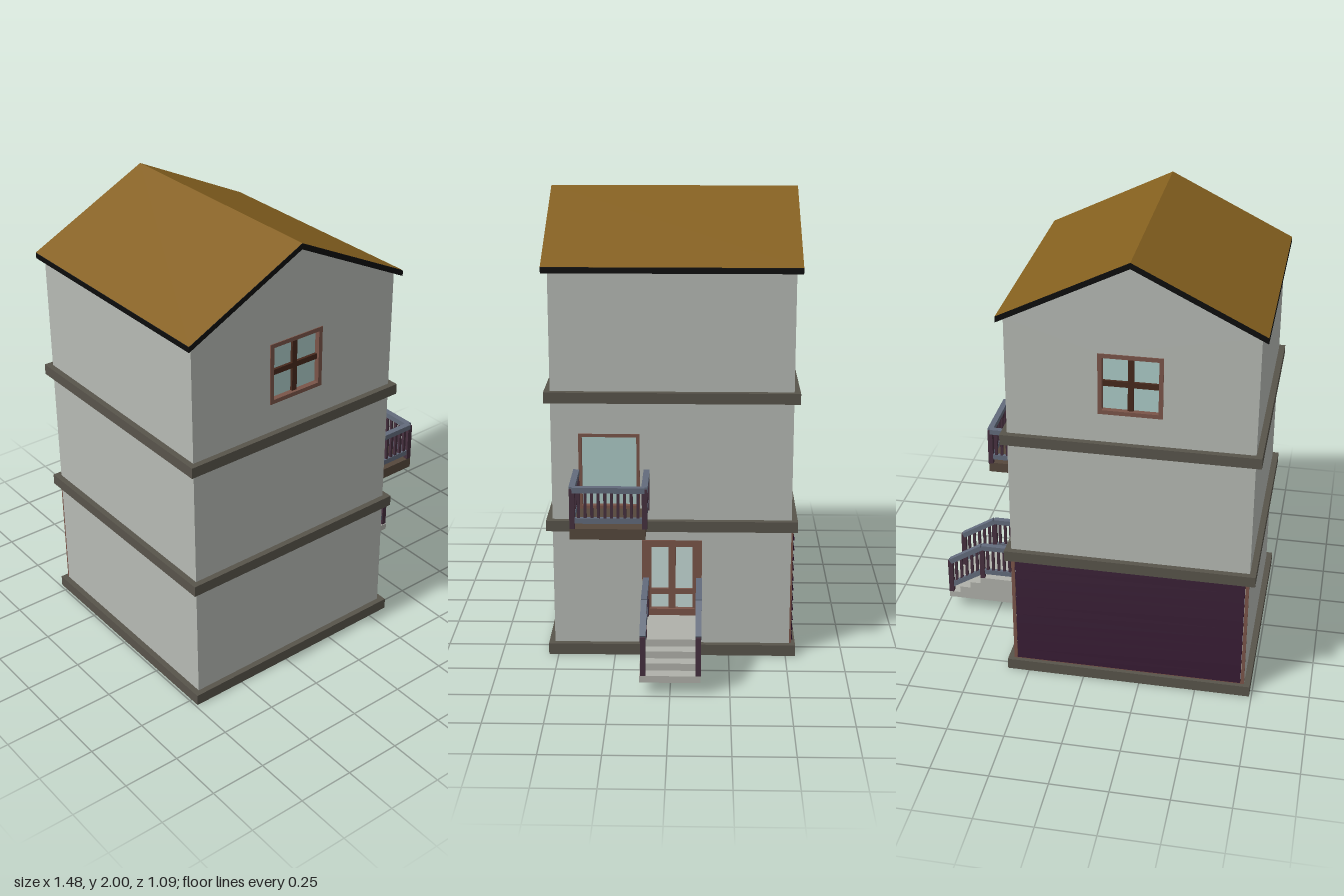
import * as THREE from 'three';

const mat = (color, side = THREE.FrontSide) => new THREE.MeshStandardMaterial({ color, side, flatShading: true });
const M = {
  wall: mat(0xb6bab4), band: mat(0x58544b), roof: mat(0x85601f, THREE.DoubleSide), edge: mat(0x0c0c0c),
  frame: mat(0x7a5549), bar: mat(0x47291d), glass: mat(0xaccbc7), doorGlass: mat(0xc6dad7),
  slat: mat(0x2c0b28), rail: mat(0x626b7c), post: mat(0x46303f), deck: mat(0x56483c), stone: mat(0xb0b1aa),
};
const CX = -0.197;          // centre of the house in x
const HW = 0.517;           // half width of the walls
const HB = 0.543;           // half width of floor bands and roof
const T = 0.03;             // wall thickness

function add(parent, name, geo, material) {
  const m = new THREE.Mesh(geo, material);
  m.name = name;
  parent.add(m);
  return m;
}

// Box given by its lower and upper limits
function block(parent, name, material, x0, x1, y0, y1, z0, z1) {
  const m = add(parent, name, new THREE.BoxGeometry(x1 - x0, y1 - y0, z1 - z0), material);
  m.position.set((x0 + x1) / 2, (y0 + y1) / 2, (z0 + z1) / 2);
  return m;
}

const poly = (pts) => new THREE.Shape(pts.map((p) => new THREE.Vector2(...p)));
const rect = (x0, x1, y0, y1) => poly([[x0, y0], [x1, y0], [x1, y1], [x0, y1]]);

// Flat plate with rectangular holes, lying between z = -depth and z = 0
function plate(shape, holes, depth) {
  holes.forEach((h) => shape.holes.push(rect(...h)));
  return new THREE.ExtrudeGeometry(shape, { depth, bevelEnabled: false }).translate(0, 0, -depth);
}

// Square beam between two points
function beam(parent, name, material, a, b, w, h) {
  const m = add(parent, name, new THREE.BoxGeometry(w, h, a.distanceTo(b)), material);
  m.position.copy(a).add(b).multiplyScalar(0.5);
  m.lookAt(b);
}

// Framed opening set into a wall; r = [x0, x1, y0, y1] in wall coordinates
function framed(parent, name, r, border, glass, bars) {
  const g = new THREE.Group();
  g.name = name;
  const [x0, x1, y0, y1] = r;
  const inner = [x0 + border, x1 - border, y0 + border, y1 - border];
  add(g, 'frame', plate(rect(...r), [inner], T + 0.004), M.frame).position.z = 0.004;
  block(g, 'glass', glass, inner[0], inner[1], inner[2], inner[3], -0.028, -0.02);
  bars.forEach(([a, b, c, d, m]) => block(g, 'glazingBar', m, a, b, c, d, -0.024, -0.008));
  parent.add(g);
}

// Railing from a to b (points at floor level), posts at both ends
function railing(parent, a, b, n) {
  const g = new THREE.Group();
  g.name = 'railing';
  const up = (p, y) => p.clone().setY(p.y + y);
  beam(g, 'topRail', M.rail, up(a, 0.168), up(b, 0.168), 0.026, 0.024);
  beam(g, 'lowerRail', M.rail, up(a, 0.034), up(b, 0.034), 0.016, 0.024);
  [a, b].forEach((p) => block(g, 'post', M.post, p.x - 0.011, p.x + 0.011, p.y, p.y + 0.172, p.z - 0.011, p.z + 0.011));
  for (let i = 1; i <= n; i++) {
    const p = a.clone().lerp(b, i / (n + 1));
    block(g, 'baluster', M.post, p.x - 0.006, p.x + 0.006, p.y + 0.034, p.y + 0.168, p.z - 0.006, p.z + 0.006);
  }
  parent.add(g);
}

export function createModel() {
  const model = new THREE.Group();
  const house = new THREE.Group();
  house.name = 'house';
  house.position.x = CX;
  model.add(house);

  // Floor bands: open square rings
  [[0, 0.05], [0.577, 0.625], [1.15, 1.197]].forEach(([y0, y1]) => {
    const ring = add(house, 'floorBand', plate(rect(-HB, HB, -HB, HB), [[-0.48, 0.48, -0.48, 0.48]], y1 - y0), M.band);
    ring.rotation.x = -Math.PI / 2;
    ring.position.y = y1;
  });

  // Gable walls with a cross-barred window, front and back
  const win = [-0.134, 0.134, 1.325, 1.595];
  const cross = [[-0.012, 0.012, 1.34, 1.58, M.bar], [-0.12, 0.12, 1.448, 1.472, M.bar]];
  [0, Math.PI].forEach((turn) => {
    const side = new THREE.Group();
    side.name = turn ? 'backSide' : 'frontSide';
    const gable = poly([[-HW, 0.02], [HW, 0.02], [HW, 1.718], [0, 1.975], [-HW, 1.718]]);
    add(side, 'gableWall', plate(gable, [win], T), M.wall);
    framed(side, 'window', win, 0.018, M.glass, cross);
    side.children.forEach((c) => { c.position.z += HW; });
    side.rotation.y = turn;
    house.add(side);
  });

  // Side walls; the one at +x holds the entrance and the balcony door
  const door = [-0.13, 0.13, 0.18, 0.53];
  const balconyDoor = [-0.4, -0.138, 0.675, 1.01];
  [1, -1].forEach((s) => {
    const side = new THREE.Group();
    side.name = s > 0 ? 'entranceSide' : 'plainSide';
    const wall = rect(-HW + T, HW - T, 0.02, 1.718);
    add(side, 'sideWall', plate(wall, s > 0 ? [door, balconyDoor] : [], T), M.wall);
    if (s > 0) {
      framed(side, 'entranceDoor', door, 0.03, M.doorGlass, [
        [-0.016, 0.016, 0.2, 0.51, M.frame], [-0.1, 0.1, 0.275, 0.3, M.frame],
        [-0.1, -0.09, 0.2, 0.51, M.frame], [0.09, 0.1, 0.2, 0.51, M.frame],
      ]);
      framed(side, 'balconyDoor', balconyDoor, 0.014, M.glass, []);
    }
    side.children.forEach((c) => { c.position.z += HW; });
    side.rotation.y = s * Math.PI / 2;
    house.add(side);
  });

  // Roof: dark chevron slab with two coloured slopes on top
  const chevron = poly([[-HB, 1.705], [0, 1.974], [HB, 1.705], [HB, 1.729], [0, 1.998], [-HB, 1.729]]);
  add(house, 'roofSlab', plate(chevron, [], 2 * HB), M.edge).position.z = HB;
  [1, -1].forEach((s) => {
    const slope = add(house, 'roofSlope', new THREE.PlaneGeometry(Math.hypot(HB, 0.269), 2 * HB).rotateX(-Math.PI / 2), M.roof);
    slope.position.set(s * HB / 2, 1.8655, 0);
    slope.rotation.z = -s * Math.atan2(0.269, HB);
  });

  // Garage door at the back: overlapping slats in a thin frame
  const slats = [[0, 0.055]];
  const n = 11, pitch = 0.515 / n;
  for (let i = 0; i < n; i++) {
    slats.push([0.016, 0.06 + i * pitch], [0.003, 0.06 + (i + 0.9) * pitch]);
  }
  slats.push([0, 0.575]);
  const garage = add(house, 'garageDoor', plate(poly(slats), [], 1.0), M.slat);
  garage.rotation.y = Math.PI / 2;
  garage.position.set(0.5, 0, -HW);
  const garageFrame = plate(rect(-HW, HW, 0.05, 0.577), [[-0.502, 0.502, 0.06, 0.567]], 0.008);
  add(house, 'garageFrame', garageFrame, M.frame).position.z = -HW;

  // Balcony
  const balcony = new THREE.Group();
  balcony.name = 'balcony';
  block(balcony, 'balconyFloor', M.deck, 0.31, 0.58, 0.628, 0.675, 0.105, 0.42);
  const V = (x, y, z) => new THREE.Vector3(x, y, z);
  railing(balcony, V(0.333, 0.675, 0.108), V(0.569, 0.675, 0.108), 8);
  railing(balcony, V(0.333, 0.675, 0.409), V(0.569, 0.675, 0.409), 8);
  railing(balcony, V(0.569, 0.675, 0.108), V(0.569, 0.675, 0.409), 10);
  model.add(balcony);

  // Entrance stairs: landing and steps in one stepped profile
  const stairs = new THREE.Group();
  stairs.name = 'entranceStairs';
  const profile = poly([[0.31, 0.055], [0.735, 0.055], [0.735, 0.085], [0.682, 0.085], [0.682, 0.117],
    [0.631, 0.117], [0.631, 0.148], [0.58, 0.148], [0.58, 0.18], [0.31, 0.18]]);
  add(stairs, 'steps', plate(profile, [], 0.256), M.stone).position.z = 0.128;
  [-0.118, 0.113].forEach((z) => {
    railing(stairs, V(0.333, 0.18, z), V(0.569, 0.18, z), 8);
    railing(stairs, V(0.569, 0.18, z), V(0.724, 0.085, z), 5);
  });
  model.add(stairs);
  return model;
}
